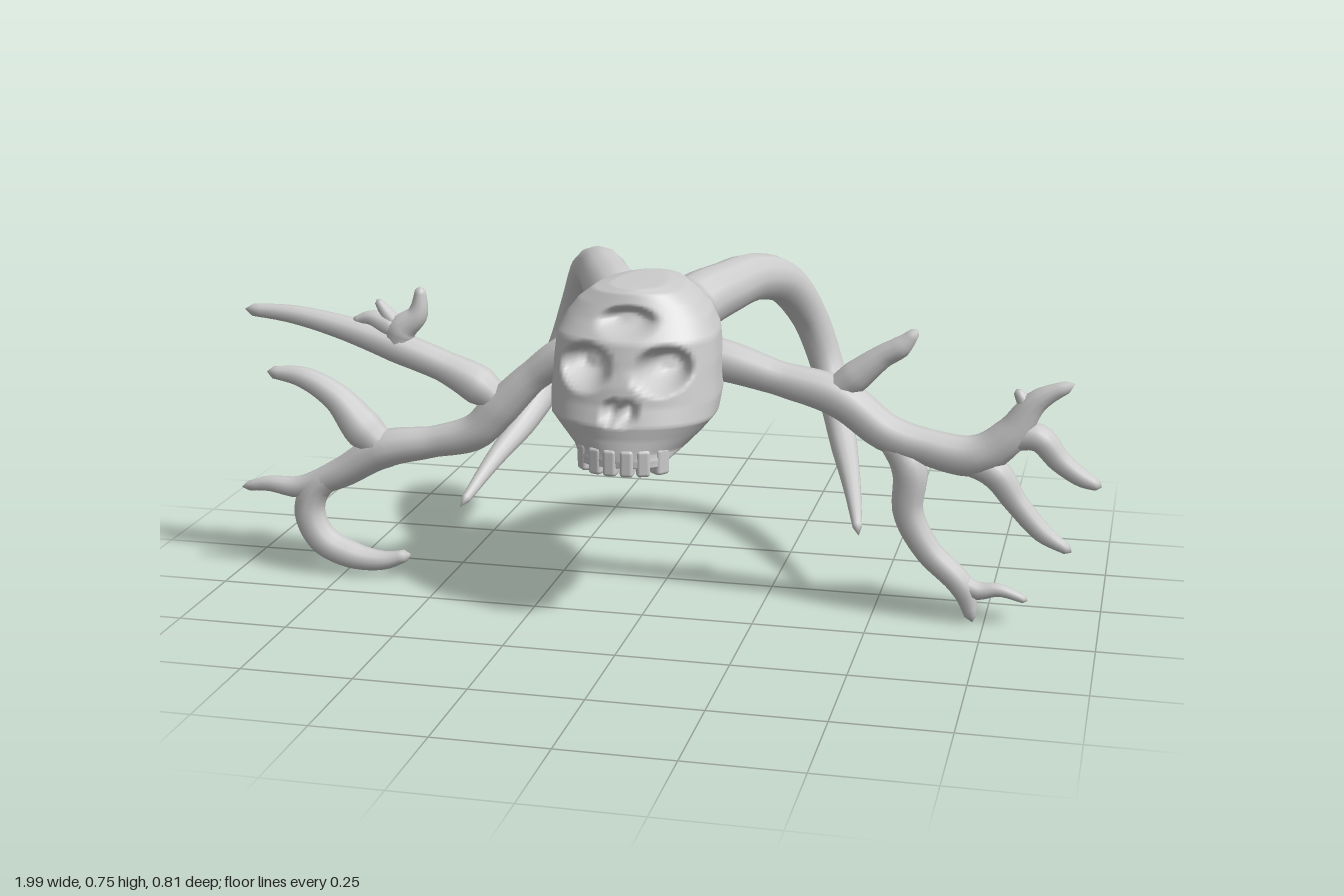
import * as THREE from 'three';
import { mergeVertices } from 'three/addons/utils/BufferGeometryUtils.js';
import { ParametricGeometry } from 'three/addons/geometries/ParametricGeometry.js';
import { RoundedBoxGeometry } from 'three/addons/geometries/RoundedBoxGeometry.js';

const bone = new THREE.MeshStandardMaterial({ color: 0xcccccc });
const CENTRE = -0.017; // the skull sits slightly off the middle of the antlers

function part(name, geometry) {
  const mesh = new THREE.Mesh(geometry, bone);
  mesh.name = name;
  return mesh;
}

// Weld seams and recompute smooth normals
function smooth(geometry) {
  geometry.deleteAttribute('uv');
  geometry.deleteAttribute('normal');
  const welded = mergeVertices(geometry, 1e-5);
  welded.computeVertexNormals();
  return welded;
}

// Value at t (0..1) along an evenly spaced list
function sample(list, t) {
  const f = t * (list.length - 1);
  const i = Math.min(Math.floor(f), list.length - 2);
  return THREE.MathUtils.lerp(list[i], list[i + 1], f - i);
}

// Tube whose radius follows the list and closes at both ends
function taperedTube(points, radii, segments = 28, sides = 10) {
  const curve = new THREE.CatmullRomCurve3(points, false, 'centripetal');
  const geo = new THREE.TubeGeometry(curve, segments, 1, sides);
  const pos = geo.attributes.position;
  const v = new THREE.Vector3();
  for (let i = 0; i <= segments; i++) {
    const u = i / segments;
    const c = curve.getPointAt(u);
    const r = i === 0 || i === segments ? 0 : sample(radii, curve.getUtoTmapping(u));
    for (let j = 0; j <= sides; j++) {
      const k = i * (sides + 1) + j;
      v.fromBufferAttribute(pos, k).sub(c).multiplyScalar(r).add(c);
      pos.setXYZ(k, v.x, v.y, v.z);
    }
  }
  return smooth(geo);
}

// Horizontal skull sections: height, front z, back z, half width
const SECTIONS = [
  [0.388, 0.33, 0.33, 0], [0.39, 0.398, 0.25, 0.09], [0.405, 0.4, 0.15, 0.105],
  [0.42, 0.4, -0.03, 0.125], [0.45, 0.398, -0.07, 0.155], [0.48, 0.4, -0.085, 0.18],
  [0.52, 0.385, -0.1, 0.185], [0.56, 0.378, -0.11, 0.182], [0.6, 0.365, -0.103, 0.181],
  [0.65, 0.352, -0.09, 0.176], [0.69, 0.318, -0.06, 0.157], [0.72, 0.3, -0.02, 0.133],
  [0.745, 0.288, 0.01, 0.1], [0.755, 0.275, 0.06, 0.06], [0.756, 0.2, 0.2, 0],
];

// Hollows in the face: x, y, x radius, y radius, depth
const HOLLOWS = [
  [0.085, 0.595, 0.062, 0.052, 0.085], [-0.085, 0.595, 0.062, 0.052, 0.085],
  [0.016, 0.508, 0.018, 0.032, 0.035], [-0.016, 0.508, 0.018, 0.032, 0.035],
  [0, 0.69, 0.07, 0.034, 0.04],
];

function skullGeometry() {
  const column = [0, 1, 2, 3].map(c => SECTIONS.map(s => s[c]));
  const surface = (u, v, target) => {
    const [y, front, back, half] = column.map(list => sample(list, u));
    const mid = back + (front - back) * 0.7;
    const a = v * Math.PI * 2;
    const s = Math.sin(a);
    const x = half * Math.cos(a);
    let z = mid + s * (s > 0 ? front - mid : mid - back);
    if (s > 0) {
      for (const [hx, hy, rx, ry, depth] of HOLLOWS) {
        const d = Math.hypot((x - hx) / rx, (y - hy) / ry);
        z -= depth * (1 - THREE.MathUtils.smoothstep(d, 0.35, 1.05));
      }
    }
    target.set(x, y, z);
  };
  return smooth(new ParametricGeometry(surface, 84, 88));
}

function buildSkull() {
  const skull = new THREE.Group();
  skull.name = 'skull';
  skull.position.x = CENTRE;
  skull.add(part('cranium', skullGeometry()));

  // Upper teeth set around the jaw arc
  for (const side of [-1, 1]) {
    for (const [x, z, w, turn] of [[0.018, 0.385, 0.03, 0.05], [0.05, 0.375, 0.03, 0.3], [0.08, 0.35, 0.034, 0.9]]) {
      const tooth = part('tooth', new RoundedBoxGeometry(w, 0.06, 0.035, 2, 0.008));
      tooth.position.set(side * x, 0.4, z);
      tooth.rotation.y = side * turn;
      skull.add(tooth);
    }
  }

  // Curved horns sweeping back, down and forward again
  const path = [
    [0.06, 0.655, 0.08], [0.1, 0.68, 0.01], [0.138, 0.692, -0.06], [0.18, 0.698, -0.16],
    [0.235, 0.665, -0.275], [0.285, 0.57, -0.352], [0.325, 0.46, -0.365], [0.36, 0.365, -0.315],
    [0.395, 0.292, -0.22], [0.432, 0.235, -0.1], [0.472, 0.158, 0.045],
  ];
  const radii = [0.07, 0.066, 0.06, 0.056, 0.05, 0.044, 0.041, 0.038, 0.032, 0.022, 0.009];
  for (const side of [-1, 1]) {
    const points = path.map(([x, y, z]) => new THREE.Vector3(side * x, y, z));
    skull.add(part(side > 0 ? 'leftHorn' : 'rightHorn', taperedTube(points, radii, 40, 12)));
  }
  return skull;
}

// Antler branches as [x, y, radius] points in a nearly flat plane
const RIGHT_ANTLER = {
  beam: [[-0.1, 0.585, 0.05], [-0.2, 0.565, 0.045], [-0.28, 0.51, 0.038], [-0.36, 0.43, 0.045], [-0.42, 0.37, 0.043],
    [-0.52, 0.34, 0.036], [-0.64, 0.315, 0.045], [-0.75, 0.25, 0.036], [-0.85, 0.21, 0.026], [-0.93, 0.213, 0.018], [-0.997, 0.2, 0.009]],
  upperBranch: [[-0.33, 0.42, 0.02], [-0.41, 0.48, 0.046], [-0.49, 0.52, 0.036], [-0.6, 0.56, 0.037], [-0.73, 0.6, 0.028],
    [-0.85, 0.625, 0.021], [-0.965, 0.632, 0.013]],
  crownTine: [[-0.6, 0.55, 0.03], [-0.59, 0.6, 0.035], [-0.55, 0.64, 0.024], [-0.54, 0.705, 0.01]],
  crownTineOuter: [[-0.57, 0.59, 0.02], [-0.62, 0.61, 0.026], [-0.66, 0.625, 0.018], [-0.705, 0.615, 0.009]],
  crownTineMiddle: [[-0.59, 0.6, 0.02], [-0.62, 0.635, 0.017], [-0.645, 0.67, 0.008]],
  middleTine: [[-0.62, 0.3, 0.03], [-0.69, 0.36, 0.047], [-0.75, 0.43, 0.034], [-0.83, 0.475, 0.025], [-0.92, 0.485, 0.012]],
  hookTine: [[-0.72, 0.27, 0.03], [-0.81, 0.21, 0.034], [-0.83, 0.15, 0.036], [-0.8, 0.085, 0.036], [-0.73, 0.05, 0.032],
    [-0.65, 0.042, 0.022], [-0.585, 0.062, 0.012]],
};
const LEFT_ANTLER = {
  beam: [[0.07, 0.585, 0.05], [0.17, 0.567, 0.046], [0.28, 0.537, 0.038], [0.42, 0.5, 0.046], [0.52, 0.43, 0.042],
    [0.6, 0.405, 0.04], [0.72, 0.39, 0.046], [0.79, 0.44, 0.04], [0.845, 0.52, 0.026], [0.925, 0.565, 0.01]],
  firstTine: [[0.38, 0.49, 0.03], [0.45, 0.55, 0.036], [0.51, 0.6, 0.026], [0.55, 0.625, 0.024], [0.585, 0.665, 0.009]],
  lowerTine: [[0.53, 0.42, 0.03], [0.575, 0.35, 0.04], [0.575, 0.25, 0.034], [0.62, 0.165, 0.03], [0.7, 0.085, 0.028], [0.725, 0.004, 0.011]],
  lowerFork: [[0.67, 0.115, 0.02], [0.73, 0.08, 0.021], [0.78, 0.085, 0.015], [0.845, 0.065, 0.008]],
  innerTine: [[0.82, 0.46, 0.025], [0.825, 0.5, 0.022], [0.8, 0.545, 0.008]],
  outerTine: [[0.77, 0.43, 0.03], [0.85, 0.44, 0.031], [0.9, 0.39, 0.025], [0.95, 0.355, 0.02], [0.992, 0.338, 0.01]],
  bottomTine: [[0.69, 0.38, 0.03], [0.76, 0.355, 0.035], [0.81, 0.29, 0.026], [0.87, 0.225, 0.022], [0.935, 0.185, 0.01]],
};

function buildAntler(name, branches) {
  const antler = new THREE.Group();
  antler.name = name;
  for (const [branch, nodes] of Object.entries(branches)) {
    const points = nodes.map(([x, y]) =>
      new THREE.Vector3(x, y, 0.118 + 0.018 * Math.abs(x) + 0.02 * Math.max(0, y - 0.5)));
    antler.add(part(branch, taperedTube(points, nodes.map(n => n[2]), nodes.length * 5)));
  }
  return antler;
}

export function createModel() {
  const model = new THREE.Group();
  model.name = 'hornedSkull';
  model.add(buildSkull());
  model.add(buildAntler('rightAntler', RIGHT_ANTLER));
  model.add(buildAntler('leftAntler', LEFT_ANTLER));
  return model;
}
